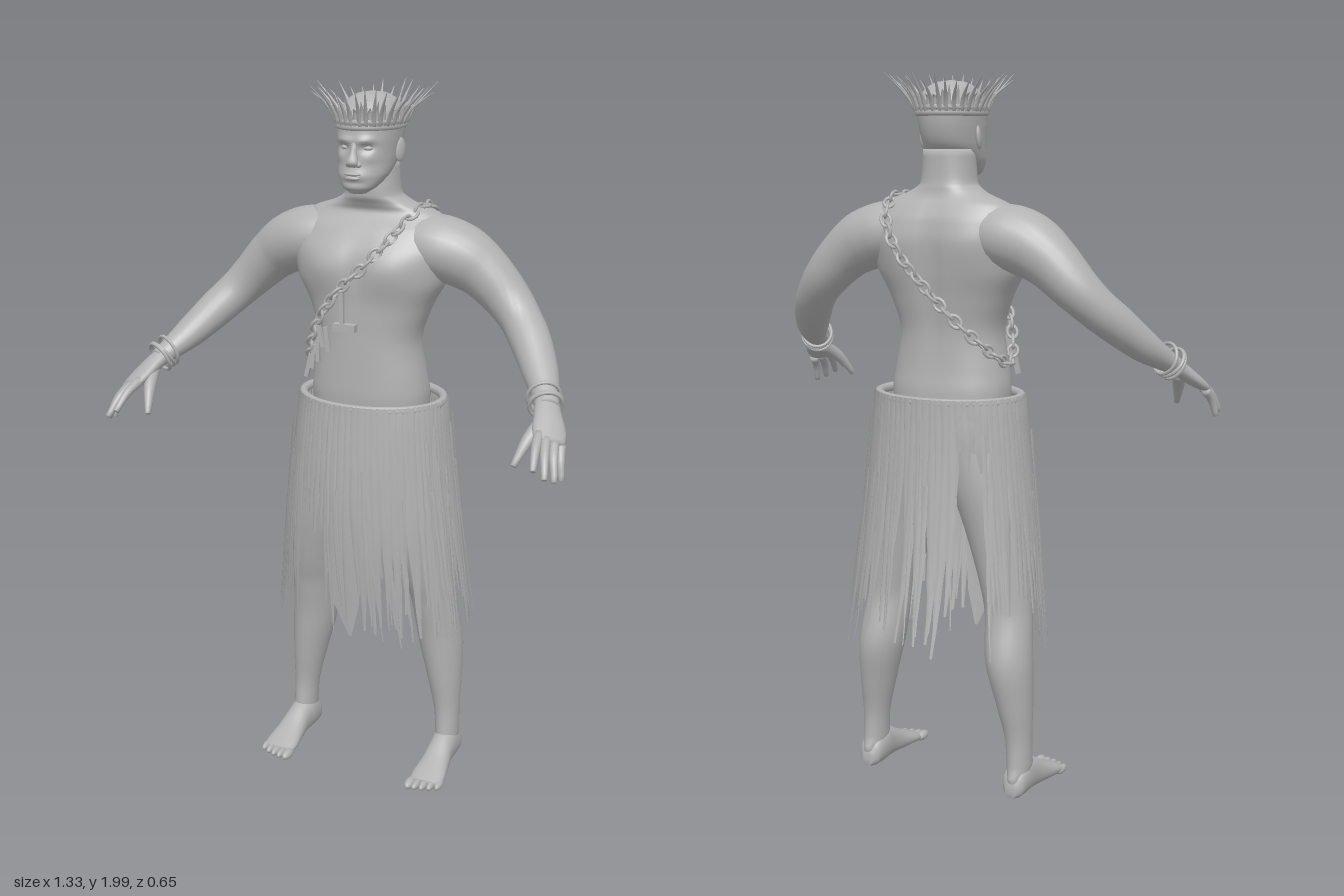
import * as THREE from 'three';
import { mergeGeometries } from 'three/addons/utils/BufferGeometryUtils.js';

const V = (x, y, z) => new THREE.Vector3(x, y, z);
const X = V(1, 0, 0), Y = V(0, 1, 0), Z = V(0, 0, 1);
const grey = new THREE.MeshStandardMaterial({ color: 0xb2b2b2, side: THREE.DoubleSide });
grey.name = 'stone grey';

let seed = 7;
const rnd = (a = 0, b = 1) => {
  seed = (seed * 16807) % 2147483647;
  return a + (b - a) * (seed / 2147483647);
};

// Smooth skin through elliptical rings; each key is [x, y, z, radiusU, radiusV]
function loft(keys, { ref = X, along = null, sides = 24, steps = 4, p = 2 } = {}) {
  const path = new THREE.CatmullRomCurve3(keys.map(k => V(k[0], k[1], k[2])));
  const size = new THREE.CatmullRomCurve3(keys.map(k => V(k[3], k[4], 0)));
  const rows = (keys.length - 1) * steps, pos = [], idx = [];
  const bend = c => Math.sign(c) * Math.abs(c) ** (2 / p);
  for (let r = -1; r <= rows + 1; r++) {
    const t = THREE.MathUtils.clamp(r / rows, 0, 1), end = r < 0 || r > rows ? 0 : 1;
    const c = path.getPoint(t), s = size.getPoint(t), d = along || path.getTangent(t);
    const u = ref.clone().addScaledVector(d, -ref.dot(d)).normalize();
    const v = d.clone().cross(u);
    for (let i = 0; i < sides; i++) {
      const a = (i / sides) * Math.PI * 2;
      const q = c.clone().addScaledVector(u, end * s.x * bend(Math.cos(a)))
        .addScaledVector(v, end * s.y * bend(Math.sin(a)));
      pos.push(q.x, q.y, q.z);
    }
  }
  for (let r = 0; r < rows + 2; r++) for (let i = 0; i < sides; i++) {
    const j = (i + 1) % sides, a = r * sides, b = a + sides;
    idx.push(a + i, a + j, b + j, a + i, b + j, b + i);
  }
  const g = new THREE.BufferGeometry();
  g.setAttribute('position', new THREE.Float32BufferAttribute(pos, 3));
  g.setIndex(idx);
  g.computeVertexNormals();
  return g;
}

// Mirrored soft swellings or hollows: [x, y, z, width, height, push along z]
function sculpt(geo, bumps) {
  const a = geo.attributes.position;
  for (let i = 0; i < a.count; i++) {
    const x = Math.abs(a.getX(i)), y = a.getY(i), z = a.getZ(i);
    let push = 0;
    for (const [bx, by, bz, w, h, d] of bumps)
      push += d * Math.exp(-(((x - bx) / w) ** 2) - ((y - by) / h) ** 2 - ((z - bz) / 0.07) ** 2);
    a.setZ(i, z + push);
  }
  geo.computeVertexNormals();
  return geo;
}

// Narrow folded ribbon hanging along a list of points
function ribbon(points, widths, side, out) {
  const pos = [], idx = [];
  points.forEach((q, r) => [-1, 0, 1].forEach(k => {
    const v = q.clone().addScaledVector(side, k * widths[r]).addScaledVector(out, k ? 0 : widths[r] * 0.5);
    pos.push(v.x, v.y, v.z);
    if (r && k < 1) {
      const b = r * 3 + k + 1, a = b - 3;
      idx.push(a, b, b + 1, a, b + 1, a + 1);
    }
  }));
  const g = new THREE.BufferGeometry();
  g.setAttribute('position', new THREE.Float32BufferAttribute(pos, 3));
  g.setIndex(idx);
  g.computeVertexNormals();
  return g;
}

// Closed elliptical hoop lying flat
function hoop(rx, rz, y, z, r) {
  const pts = [];
  for (let i = 0; i < 24; i++) {
    const a = (i / 24) * Math.PI * 2;
    pts.push(V(rx * Math.cos(a), y, z + rz * Math.sin(a)));
  }
  return new THREE.TubeGeometry(new THREE.CatmullRomCurve3(pts, true), 64, r, 8, true);
}

export function createModel() {
  const model = new THREE.Group();
  const add = (name, geo) => {
    const m = new THREE.Mesh(geo, grey);
    m.name = name;
    model.add(m);
    return m;
  };
  const ball = (name, at, scale, rot = [0, 0, 0]) => {
    const m = add(name, new THREE.SphereGeometry(1, 18, 12));
    m.position.set(...at);
    m.scale.set(...scale);
    m.rotation.set(...rot);
  };
  // Rows are [height, half width, front z, back z]
  const stack = rows => rows.map(([y, w, f, b]) => [0, y, (f + b) / 2, w, (f - b) / 2]);

  // Torso and neck with chest, shoulder blades and spine
  add('torso', sculpt(loft(stack([
    [0.98, 0.15, 0.04, -0.18], [1.14, 0.17, 0.057, -0.18], [1.2, 0.163, 0.057, -0.172],
    [1.3, 0.147, 0.055, -0.168], [1.4, 0.177, 0.055, -0.182], [1.47, 0.215, 0.056, -0.192],
    [1.55, 0.232, 0.045, -0.197], [1.61, 0.22, 0.012, -0.187], [1.65, 0.185, -0.025, -0.165],
    [1.675, 0.115, -0.018, -0.152], [1.7, 0.077, -0.005, -0.147], [1.79, 0.068, -0.01, -0.142],
  ]), { along: Y, sides: 56, steps: 5, p: 2.3 }), [
    [0.09, 1.51, 0.05, 0.075, 0.055, 0.018], [0, 1.5, 0.05, 0.02, 0.09, -0.008],
    [0.11, 1.54, -0.19, 0.07, 0.08, -0.012], [0, 1.45, -0.19, 0.025, 0.18, 0.012],
  ]));

  // Head with brow, eye sockets, cheekbones and mouth
  add('head', sculpt(loft(stack([
    [1.712, 0.022, 0.05, 0.005], [1.728, 0.046, 0.062, -0.03], [1.76, 0.067, 0.064, -0.09],
    [1.8, 0.076, 0.058, -0.145], [1.85, 0.082, 0.057, -0.165], [1.89, 0.085, 0.052, -0.17],
    [1.92, 0.081, 0.042, -0.165], [1.95, 0.062, 0.012, -0.138], [1.965, 0.036, -0.02, -0.105],
    [1.97, 0.004, -0.058, -0.066],
  ]), { along: Y, sides: 72, steps: 8, p: 2.2 }), [
    [0.03, 1.852, 0.055, 0.025, 0.01, 0.008], [0.034, 1.833, 0.055, 0.016, 0.011, -0.012],
    [0.046, 1.808, 0.045, 0.018, 0.014, 0.005], [0, 1.76, 0.06, 0.028, 0.014, 0.006],
    [0, 1.743, 0.06, 0.03, 0.007, -0.004],
  ]));
  add('nose', loft([[0, 1.85, 0.05, 0.009, 0.008], [0, 1.82, 0.058, 0.01, 0.012],
    [0, 1.796, 0.067, 0.017, 0.014], [0, 1.784, 0.062, 0.014, 0.01]], { along: Y.clone().negate(), sides: 14 }));
  ball('upperLip', [0, 1.766, 0.065], [0.024, 0.0055, 0.01]);
  ball('lowerLip', [0, 1.755, 0.064], [0.021, 0.0065, 0.01]);

  for (const s of [1, -1]) {
    const side = s > 0 ? 'left' : 'right';
    const flip = keys => keys.map(([x, ...k]) => [x * s, ...k]);
    ball(side + 'Eye', [0.033 * s, 1.832, 0.037], [0.013, 0.0065, 0.01], [0, 0.35 * s, 0]);
    ball(side + 'Nostril', [0.014 * s, 1.79, 0.058], [0.009, 0.0075, 0.01]);
    ball(side + 'Ear', [0.082 * s, 1.82, -0.062], [0.008, 0.032, 0.019], [-0.15, -0.35 * s, 0]);

    // Arm, palm and fingers
    add(side + 'Arm', loft(flip([
      [0.08, 1.575, -0.09, 0.07, 0.08], [0.19, 1.561, -0.088, 0.088, 0.1], [0.255, 1.54, -0.092, 0.086, 0.092],
      [0.315, 1.502, -0.097, 0.075, 0.077], [0.385, 1.436, -0.094, 0.063, 0.066], [0.432, 1.387, -0.073, 0.056, 0.058],
      [0.475, 1.34, -0.032, 0.053, 0.056], [0.528, 1.276, 0.038, 0.043, 0.048], [0.568, 1.229, 0.11, 0.028, 0.033],
      [0.578, 1.217, 0.135, 0.024, 0.03],
    ]), { ref: Y }));
    add(side + 'Palm', loft(flip([
      [0.568, 1.229, 0.11, 0.031, 0.025], [0.588, 1.202, 0.155, 0.038, 0.022],
      [0.605, 1.175, 0.195, 0.045, 0.019], [0.617, 1.155, 0.23, 0.041, 0.014],
    ]), { ref: V(1, -0.35 * s, -0.35 * s).normalize(), sides: 18 }));
    // Each finger runs from knuckle to tip, last number is its thickness
    const fingers = [
      [0.587, 1.173, 0.222, 0.606, 1.108, 0.322, 0.014], [0.607, 1.163, 0.228, 0.635, 1.088, 0.318, 0.014],
      [0.627, 1.152, 0.222, 0.652, 1.075, 0.29, 0.014], [0.641, 1.144, 0.207, 0.658, 1.068, 0.25, 0.013],
      [0.58, 1.195, 0.16, 0.537, 1.095, 0.268, 0.02],
    ];
    for (const [a, b, c, d, e, f, r] of fingers) add(side + 'Finger', loft(flip([
      [a, b, c, r, r], [(a + d) / 2, (b + e) / 2 + 0.009, (c + f) / 2 + 0.005, r * 0.85, r * 0.85],
      [d, e, f, 0.008, 0.008],
    ]), { ref: Y, sides: 10 }));

    // Loose bracelets
    [[0.56, 1.238, 0.108, 0.2], [0.571, 1.227, 0.122, -0.1], [0.574, 1.222, 0.132, 0.1]].forEach(([x, y, z, tilt]) => {
      const m = add(side + 'Bracelet', new THREE.TorusGeometry(0.043, 0.005, 8, 28));
      m.position.set(x * s, y, z);
      m.quaternion.setFromUnitVectors(Z, V(0.4 * s, -0.5 + tilt, 0.75).normalize());
    });

    // Leg, foot and toes
    add(side + 'Leg', loft(flip([
      [0.236, 0.03, -0.1, 0.033, 0.05], [0.236, 0.08, -0.098, 0.033, 0.05], [0.233, 0.16, -0.1, 0.036, 0.045],
      [0.222, 0.27, -0.105, 0.05, 0.06], [0.205, 0.4, -0.108, 0.065, 0.075], [0.192, 0.52, -0.085, 0.066, 0.07],
      [0.18, 0.6, -0.075, 0.073, 0.08], [0.15, 0.75, -0.065, 0.092, 0.1], [0.112, 0.9, -0.065, 0.105, 0.115],
      [0.085, 1.06, -0.065, 0.09, 0.113],
    ]), { along: Y }));
    add(side + 'Foot', loft(flip([
      [0.235, 0.028, -0.155, 0.016, 0.02], [0.235, 0.044, -0.135, 0.034, 0.042], [0.235, 0.056, -0.09, 0.038, 0.055],
      [0.237, 0.05, -0.045, 0.037, 0.048], [0.239, 0.033, 0.01, 0.043, 0.033], [0.24, 0.021, 0.065, 0.05, 0.02],
      [0.24, 0.015, 0.095, 0.047, 0.013],
    ]), { along: Z, p: 2.2 }));
    for (let i = 0; i < 5; i++) ball(side + 'Toe', [(0.2 + i * 0.0205) * s, 0.014, 0.108 - i * i * 0.0016],
      [i ? 0.0105 : 0.014, i ? 0.012 : 0.014, 0.028]);
  }

  // Headband with two rings of flaring spikes
  add('headband', mergeGeometries([hoop(0.086, 0.112, 1.885, -0.06, 0.009), hoop(0.087, 0.113, 1.899, -0.06, 0.009)]));
  const spikes = [];
  for (let i = 0; i < 62; i++) {
    const a = ((i + rnd(-0.25, 0.25)) / 62) * Math.PI * 2, c = Math.cos(a), n = Math.sin(a);
    const at = (k, y) => [(0.088 + k) * c, y, -0.06 + (0.113 + k) * n];
    const flare = (i % 2 ? 0.02 : 0.06) * rnd(0.8, 1.2) * (Math.abs(n) > 0.6 ? 0.75 : 1);
    const top = (i % 2 ? 1.945 : 1.98) + rnd(-0.015, 0.012);
    spikes.push(loft([[...at(0.002, 1.888), 0.007, 0.005], [...at(flare * 0.35, 1.925), 0.006, 0.004],
      [...at(flare * 1.25, top), 0.0006, 0.0006]], { ref: V(-n, 0, c), sides: 5, steps: 3 }));
  }
  add('crownSpikes', mergeGeometries(spikes));

  // Shredded skirt: broad inner strips below a rolled waist, loose strands over them
  add('skirtRim', hoop(0.206, 0.162, 1.125, -0.075, 0.013));
  const strips = [];
  const hang = (a, half, bottom, lift, start) => {
    const c = Math.cos(a), n = Math.sin(a), out = V(c, 0, n), across = V(-n, 0, c);
    const pts = [], widths = [], sway = rnd(-0.03, 0.03), kick = n > 0 ? 0 : rnd(0, 0.02);
    for (let r = 0; r <= 9; r++) {
      const y = THREE.MathUtils.lerp(start, bottom, r / 9), t = (1.13 - y) / 0.68;
      const fx = 0.212 + 0.07 * t + lift;
      const fz = n > 0 ? 0.17 + 0.022 * Math.sin(t * Math.PI) - 0.018 * t : 0.17 + 0.062 * t * t;
      pts.push(V(c * fx, y, -0.075 + n * (fz + lift * 0.6)).addScaledVector(across, sway * t * t + rnd(-0.002, 0.002))
        .addScaledVector(out, kick * t * t));
      widths.push(half * (r > 5 ? (10.5 - r) / 5.5 : 1) * rnd(0.8, 1.1));
    }
    strips.push(ribbon(pts, widths, across, out));
  };
  // Openings [from, to, lower edge] at the right front, right side, right back and back
  const gaps = [[1.88, 2.3, 0.74], [3.0, 3.75, 0.53], [3.92, 4.2, 0.92], [4.88, 5.0, 0.72]];
  const gapAt = a => gaps.find(([from, to]) => a > from && a < to);
  for (let i = 0; i < 72; i++) {
    const a = (i / 72) * Math.PI * 2, gap = gapAt(a);
    hang(a, 0.015, gap ? gap[2] + rnd(0, 0.08) : rnd(0.44, 0.58), 0, 1.135);
  }
  for (let i = 0; i < 100; i++) {
    const a = rnd(0, Math.PI * 2);
    if (gapAt(a)) continue;
    hang(a, rnd(0.004, 0.009), rnd(0.41, 0.56), rnd(0.002, 0.014), rnd(0.85, 1.12));
  }
  add('skirtStrips', mergeGeometries(strips));

  // Pointed cloth hanging inside the front of the skirt
  add('loincloth', ribbon(
    [V(-0.02, 1.1, 0.07), V(-0.035, 0.85, 0.08), V(-0.03, 0.65, 0.07), V(-0.025, 0.52, 0.06), V(-0.015, 0.42, 0.055)],
    [0.07, 0.07, 0.055, 0.04, 0.004], X, V(0, 0, 0.2)));

  // Chain slung from the left shoulder to the right hip
  const chain = new THREE.CatmullRomCurve3([
    [0.14, 1.668, -0.1], [0.122, 1.64, -0.025], [0.085, 1.585, 0.035], [0.03, 1.52, 0.067], [-0.04, 1.45, 0.077],
    [-0.1, 1.37, 0.065], [-0.145, 1.28, 0.022], [-0.17, 1.22, -0.04], [-0.168, 1.235, -0.1], [-0.138, 1.28, -0.155],
    [-0.09, 1.33, -0.185], [0, 1.42, -0.2], [0.08, 1.52, -0.217], [0.125, 1.6, -0.2], [0.14, 1.65, -0.155],
  ].map(q => V(...q)), true);
  const count = Math.round(chain.getLength() / 0.031 / 2) * 2, links = [];
  for (let i = 0; i < count; i++) {
    const at = chain.getPointAt(i / count), t = chain.getTangentAt(i / count);
    const w = V(at.x, 0, at.z + 0.06).cross(t).normalize(), o = t.clone().cross(w);
    const frame = i % 2 ? new THREE.Matrix4().makeBasis(t, w, o.negate()) : new THREE.Matrix4().makeBasis(t, o, w);
    links.push(new THREE.TorusGeometry(0.014, 0.0045, 6, 12).scale(1.4, 1, 1).applyMatrix4(frame.setPosition(at)));
  }
  add('chain', mergeGeometries(links));

  // Charms hanging from the chain
  const bar = (name, at, size, tilt = 0) => {
    const m = add(name, new THREE.BoxGeometry(...size));
    m.position.set(...at);
    m.rotation.z = tilt;
  };
  bar('hammerHandle', [-0.028, 1.4, 0.075], [0.012, 0.1, 0.012]);
  bar('hammerHead', [-0.02, 1.35, 0.072], [0.064, 0.022, 0.022]);
  [[-0.1, 1.32], [-0.085, 1.305], [-0.12, 1.27], [-0.14, 1.245], [-0.16, 1.215]].forEach(([x, y], i) =>
    bar('charm', [x, y, 0.06 - i * 0.012], [0.012, 0.07, 0.01], 0.25 - i * 0.12));

  return model;
}
